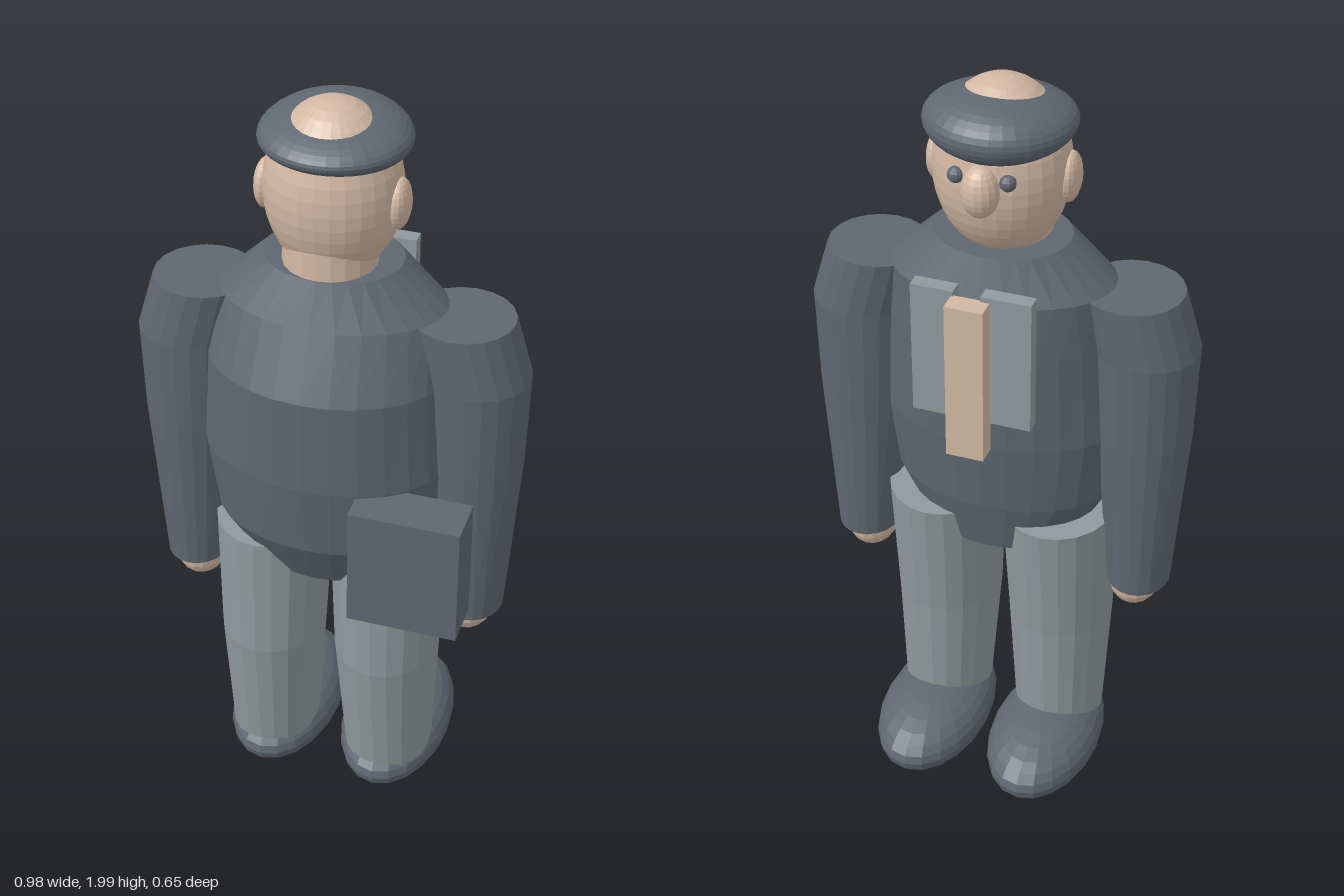
import * as THREE from 'three';

const material = (name, color) => {
  const m = new THREE.MeshStandardMaterial({ color, flatShading: true });
  m.name = name;
  return m;
};

// Closed loft through elliptical rings, listed from top to bottom: [y, cx, cz, rx, rz]
function loft(rings, sides = 20) {
  const last = rings.length - 1;
  const g = new THREE.CylinderGeometry(1, 1, 1, sides, last);
  const p = g.attributes.position;
  for (let i = 0; i < p.count; i++) {
    const [y, cx, cz, rx, rz] = rings[Math.round((0.5 - p.getY(i)) * last)];
    p.setXYZ(i, cx + p.getX(i) * rx, y, cz + p.getZ(i) * rz);
  }
  g.computeVertexNormals();
  return g;
}

const ellipsoid = (rx, ry, rz, w = 20, h = 14) => new THREE.SphereGeometry(1, w, h).scale(rx, ry, rz);

export function createModel() {
  const dark = material('slate cloth', 0x5f6771);
  const grey = material('grey cloth', 0x8f999c);
  const skin = material('skin', 0xd2b7a2);
  const model = new THREE.Group();
  model.name = 'figure';

  const add = (name, geometry, mat, x = 0, y = 0, z = 0) => {
    const mesh = new THREE.Mesh(geometry, mat);
    mesh.name = name;
    mesh.position.set(x, y, z);
    model.add(mesh);
    return mesh;
  };
  // Box given by its limits on each axis
  const block = (name, mat, [x0, x1], [y0, y1], [z0, z1]) =>
    add(name, new THREE.BoxGeometry(x1 - x0, y1 - y0, z1 - z0), mat,
      (x0 + x1) / 2, (y0 + y1) / 2, (z0 + z1) / 2);

  // Jacket body, fuller on the +z side
  const body = [
    [1.605, 0.17, 0.16, -0.12],
    [1.5, 0.28, 0.207, -0.16],
    [1.34, 0.30, 0.28, -0.167],
    [1.09, 0.313, 0.28, -0.16],
    [0.89, 0.285, 0.255, -0.14],
    [0.745, 0.2, 0.18, -0.11],
  ].map(([y, rx, za, zb]) => [y, 0, (za + zb) / 2, rx, (za - zb) / 2]);
  add('jacket', loft(body, 28), dark);

  // Head, neck and cap
  add('neck', loft([[1.7, 0, 0.045, 0.11, 0.11], [1.57, 0, 0.045, 0.115, 0.115]]), skin);
  add('head', ellipsoid(0.165, 0.22, 0.155, 28, 20), skin, 0, 1.78, 0.02);
  const capShape = ellipsoid(0.18, 0.07, 0.174, 36, 20);
  const cp = capShape.attributes.position;
  for (let i = 0; i < cp.count; i++) cp.setY(i, cp.getY(i) * (1 - 1.6 * cp.getZ(i)));
  capShape.computeVertexNormals();
  add('cap', capShape, dark, 0, 1.905, 0.006);
  add('nose', ellipsoid(0.046, 0.065, 0.045, 16, 12), skin, 0, 1.785, -0.132);

  for (const [side, s] of [['left', 1], ['right', -1]]) {
    add(side + 'Ear', ellipsoid(0.027, 0.063, 0.05, 16, 12), skin, s * 0.16, 1.768, 0.03);
    add(side + 'Eye', ellipsoid(0.02, 0.02, 0.02, 12, 8), dark, s * 0.062, 1.812, -0.122);

    // Sleeve and hand
    add(side + 'Arm', loft([
      [1.5, s * 0.32, 0.032, 0.125, 0.123],
      [1.35, s * 0.36, 0.032, 0.13, 0.127],
      [1.1, s * 0.365, 0.03, 0.118, 0.118],
      [0.65, s * 0.37, 0.022, 0.08, 0.092],
    ]), dark);
    add(side + 'Hand', ellipsoid(0.066, 0.07, 0.08, 16, 12), skin, s * 0.362, 0.643, 0.022);

    // Trouser leg and shoe
    add(side + 'Leg', loft([
      [0.83, s * 0.152, 0.033, 0.148, 0.173],
      [0.48, s * 0.155, 0.05, 0.135, 0.158],
      [0.12, s * 0.16, 0.037, 0.115, 0.13],
    ]), grey);
    add(side + 'Shoe', ellipsoid(0.145, 0.097, 0.256), dark, s * 0.157, 0.102, -0.066).rotation.x = 0.03;
  }

  // Lapels, tie and the case by the left hand
  block('leftLapel', grey, [0.042, 0.147], [1.205, 1.555], [-0.206, -0.168]);
  block('rightLapel', grey, [-0.148, -0.025], [1.205, 1.555], [-0.206, -0.168]);
  block('tie', skin, [-0.047, 0.047], [1.125, 1.542], [-0.253, -0.2]);
  block('case', dark, [0.13, 0.404], [0.765, 1.085], [0.2, 0.324]);

  return model;
}
